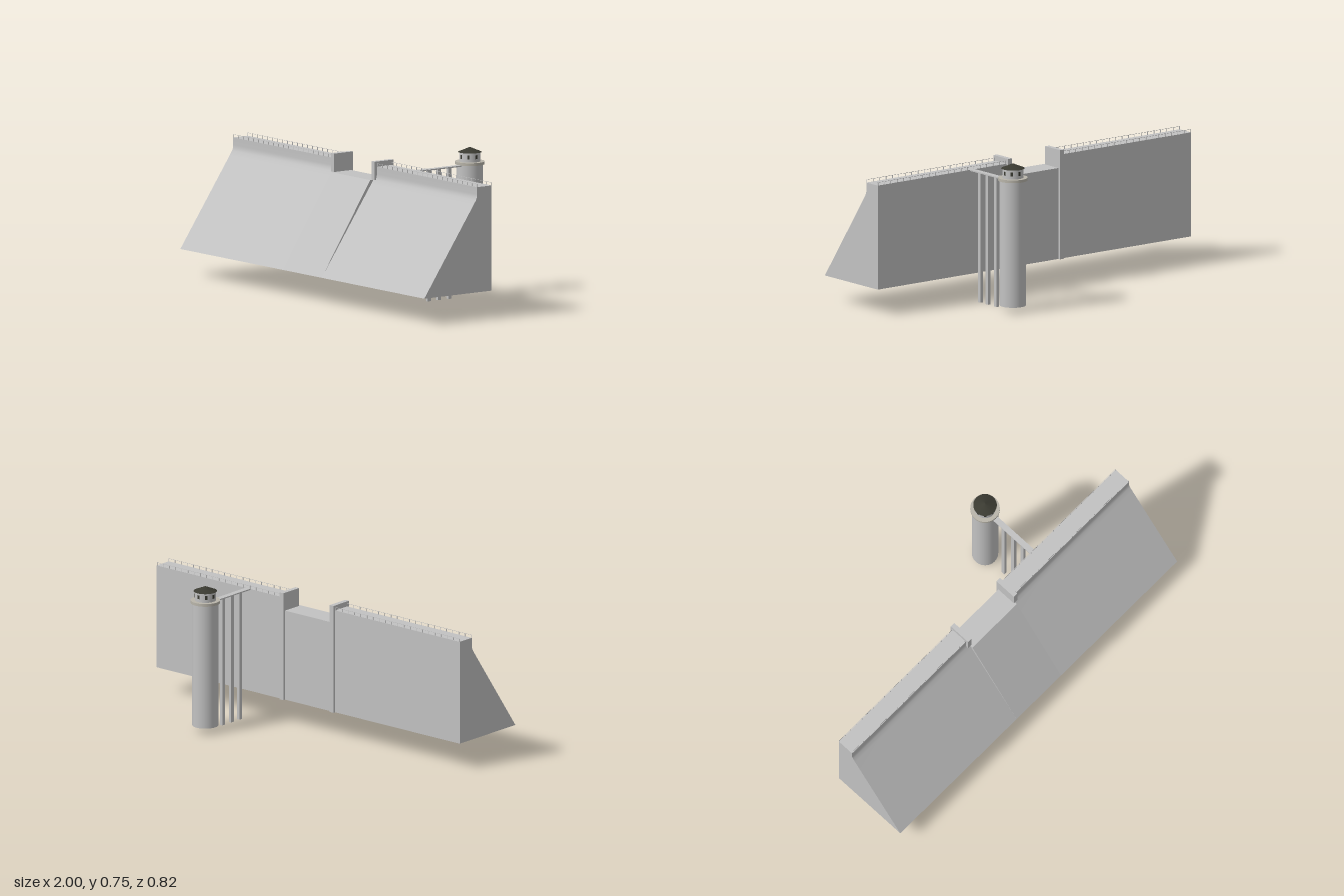
import * as THREE from 'three';
import { toCreasedNormals } from 'three/addons/utils/BufferGeometryUtils.js';

export function createModel() {
  const model = new THREE.Group();
  model.name = 'dam';
  const material = (name, color) => {
    const m = new THREE.MeshStandardMaterial({ color });
    m.name = name;
    return m;
  };
  const concrete = material('concrete', 0xc2c2c2);
  const stone = material('pale stone', 0xb9b5aa);
  const dark = material('dark roof', 0x3a3a31);

  const add = (name, geometry, mat, x = 0, y = 0, z = 0, parent = model) => {
    const mesh = new THREE.Mesh(geometry, mat);
    mesh.name = name;
    mesh.position.set(x, y, z);
    parent.add(mesh);
    return mesh;
  };
  // Box given by its limits on each axis
  const box = (name, mat, x0, x1, y0, y1, z0, z1, parent = model) =>
    add(name, new THREE.BoxGeometry(x1 - x0, y1 - y0, z1 - z0), mat,
      (x0 + x1) / 2, (y0 + y1) / 2, (z0 + z1) / 2, parent);
  // Cross-section in (z, y) swept from x0 to x1
  const sweep = (name, profile, x0, x1) => {
    const shape = new THREE.Shape(profile.map(([z, y]) => new THREE.Vector2(z, y)));
    const g = new THREE.ExtrudeGeometry(shape, { depth: x1 - x0, bevelEnabled: false });
    g.rotateY(-Math.PI / 2);
    g.translate(x1, 0, 0);
    return add(name, toCreasedNormals(g, 0.5), concrete);
  };

  const back = -0.012, base = 0.135, crest = 0.667;
  const wall = [[back, base], [0.413, base], [0.102, 0.579], [0.087, 0.601],
    [0.081, 0.616], [0.08, 0.63], [0.08, crest], [back, crest]];
  const spill = [[back, base], [0.413, base], [0.108, 0.6], [back, 0.6]];

  // Wall halves and the lower spillway between them
  sweep('rightWall', wall, -1, -0.16);
  sweep('leftWall', wall, 0.16, 1);
  sweep('spillway', spill, -0.16, 0.16);

  for (const s of [-1, 1]) {
    const side = s < 0 ? 'right' : 'left';
    // Pier beside the spillway, with a buttress down the back
    const a = s * 0.153, b = s * 0.178;
    const x0 = Math.min(a, b), x1 = Math.max(a, b);
    box(side + 'Pier', concrete, x0, x1, 0.6, 0.693, -0.025, 0.095);
    box(side + 'Buttress', concrete, x0, x1, base, 0.6, -0.025, back);

    // Fine railings along both crest edges
    for (const [edge, z] of [['Front', 0.0785], ['Back', back + 0.0015]]) {
      const railing = new THREE.Group();
      railing.name = side + edge + 'Railing';
      model.add(railing);
      const r0 = Math.min(s * 0.18, s), r1 = Math.max(s * 0.18, s);
      box('rail', concrete, r0, r1, 0.6815, 0.683, z - 0.0007, z + 0.0007, railing);
      for (let i = 0; i <= 20; i++) {
        const x = s * (0.182 + i * 0.0408);
        box('post', concrete, x - 0.0013, x + 0.0013, crest, 0.683, z - 0.0013, z + 0.0013, railing);
      }
    }
  }

  // Footbridge to the tower on slim supports
  const tx = 0.397, tz = -0.338;
  box('footbridge', concrete, tx - 0.015, tx + 0.015, 0.662, 0.668, -0.275, back);
  for (const z of [-0.076, -0.14, -0.207])
    box('bridgeSupport', concrete, tx - 0.008, tx + 0.008, 0, 0.662, z - 0.01, z + 0.01);

  // Intake tower
  const tower = new THREE.Group();
  tower.name = 'intakeTower';
  tower.position.set(tx, 0, tz);
  model.add(tower);
  const drum = (name, mat, r, y0, y1) =>
    add(name, new THREE.CylinderGeometry(r, r, y1 - y0, 40), mat, 0, (y0 + y1) / 2, 0, tower);
  drum('shaft', concrete, 0.066, 0.03, 0.67);
  drum('gallery', stone, 0.074, 0.669, 0.683);
  drum('lantern', concrete, 0.053, 0.683, 0.731);
  add('roof', new THREE.ConeGeometry(0.059, 0.025, 40), dark, 0, 0.7425, 0, tower);

  // Eight windows curved around the lantern
  for (let i = 0; i < 8; i++) {
    const pane = new THREE.CylinderGeometry(0.0538, 0.0538, 0.02, 4, 1, true,
      i * Math.PI / 4 - 0.11, 0.22);
    add('window', pane, dark, 0, 0.709, 0, tower);
  }
  return model;
}
